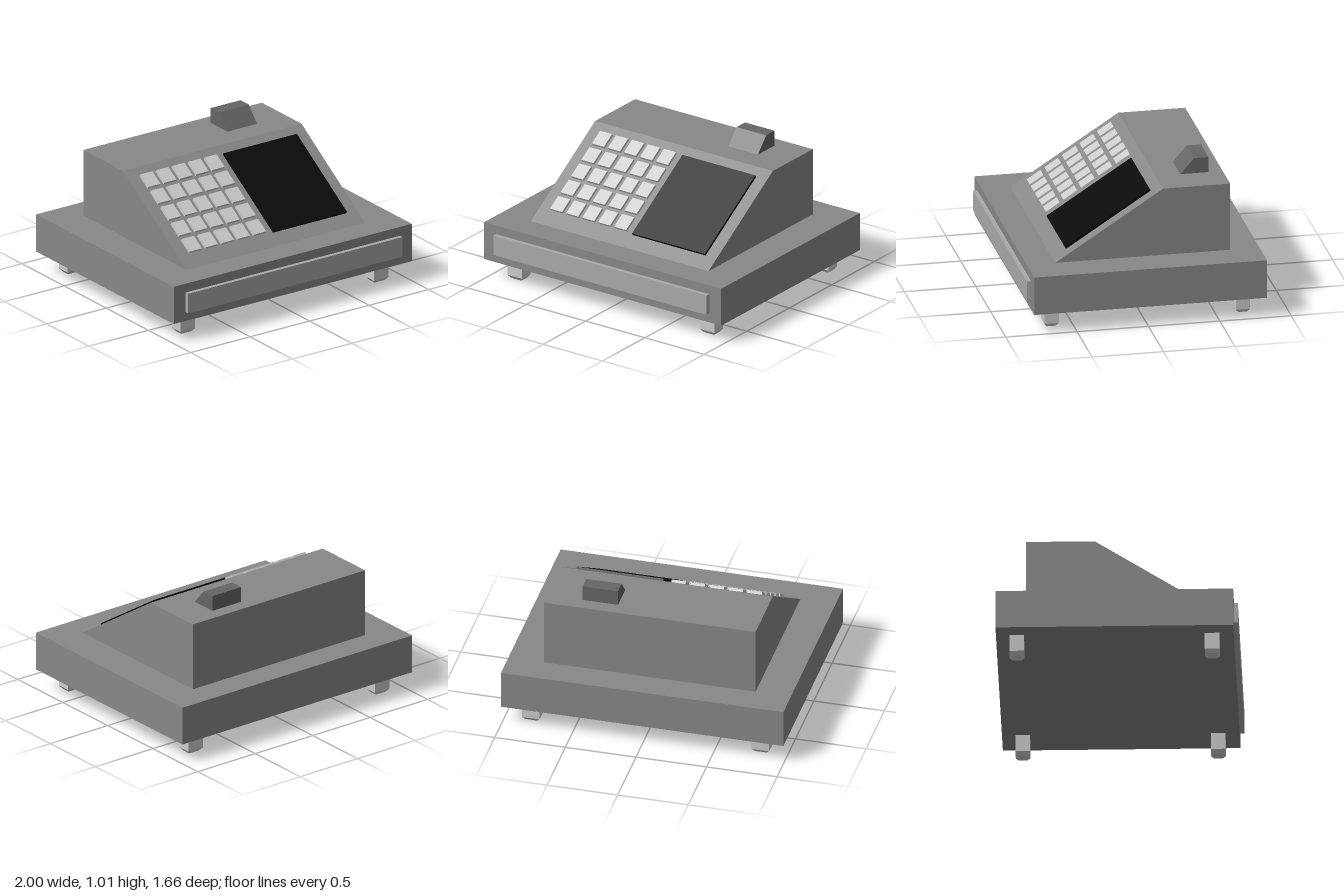
import * as THREE from 'three';

const mat = (color) => new THREE.MeshStandardMaterial({ color, flatShading: true });
const bodyMat = mat(0x888888), drawerMat = mat(0xaaaaaa), lightMat = mat(0xcccccc);
const darkMat = mat(0x666666), screenMat = mat(0x0a0a0a);

function add(parent, name, geometry, material, x = 0, y = 0, z = 0) {
  const mesh = new THREE.Mesh(geometry, material);
  mesh.name = name;
  mesh.position.set(x, y, z);
  parent.add(mesh);
  return mesh;
}

// Prism spanning x0..x1 from a side profile of [z, y] points
function sideProfile(points, x0, x1) {
  const shape = new THREE.Shape(points.map(([z, y]) => new THREE.Vector2(-z, y)));
  return new THREE.ExtrudeGeometry(shape, { depth: x1 - x0, bevelEnabled: false })
    .rotateY(Math.PI / 2).translate(x0, 0, 0);
}

// Square foot whose lowest part tapers inward
function footGeometry(w, h, d, taper, inset) {
  const geo = new THREE.BoxGeometry(w, h, d, 1, 2, 1).translate(0, h / 2, 0);
  const p = geo.attributes.position;
  for (let i = 0; i < p.count; i++) {
    const y = p.getY(i);
    if (y < h * 0.25) {
      p.setX(i, Math.sign(p.getX(i)) * (w / 2 - inset));
      p.setZ(i, Math.sign(p.getZ(i)) * (d / 2 - inset));
    } else if (y < h * 0.75) p.setY(i, taper);
  }
  geo.computeVertexNormals();
  return geo;
}

export function createModel() {
  const model = new THREE.Group();
  model.name = 'cashRegister';

  // Wide base with the cash drawer front
  add(model, 'base', new THREE.BoxGeometry(2, 0.275, 1.63), bodyMat, 0, 0.2825, -0.015);
  add(model, 'drawerFront', new THREE.BoxGeometry(1.8, 0.145, 0.05), drawerMat, 0, 0.2825, 0.805);

  // Sloped upper housing
  const front = [0.6, 0.42], top = [-0.155, 0.905];
  add(model, 'housing', sideProfile([front, top, [-0.625, 0.905], [-0.625, 0.42]], -0.75, 0.75), bodyMat);

  // Receipt printer on the top
  add(model, 'receiptPrinter',
    sideProfile([[-0.328, 0.905], [-0.425, 1.015], [-0.525, 1.015], [-0.525, 0.905]], 0.25, 0.5), darkMat);

  // Control panel: local -z runs up the slope, local y points out of it
  const panel = new THREE.Group();
  panel.name = 'controlPanel';
  panel.position.set(0, front[1], front[0]);
  panel.rotation.x = Math.atan2(top[1] - front[1], front[0] - top[0]);
  model.add(panel);
  add(panel, 'screen', new THREE.BoxGeometry(0.615, 0.03, 0.705), screenMat, 0.35, 0.002, -0.465);

  // Five by five keypad
  const keyGeo = new THREE.BoxGeometry(0.102, 0.034, 0.114);
  for (let row = -2; row <= 2; row++) {
    for (let col = -2; col <= 2; col++) {
      add(panel, 'key', keyGeo, lightMat, -0.335 + col * 0.135, 0.002, -0.474 + row * 0.146);
    }
  }

  // Four feet
  const footGeo = footGeometry(0.125, 0.145, 0.1, 0.025, 0.02);
  for (const x of [-0.8125, 0.8125]) {
    for (const z of [0.652, -0.688]) add(model, 'foot', footGeo, lightMat, x, 0, z);
  }
  return model;
}
